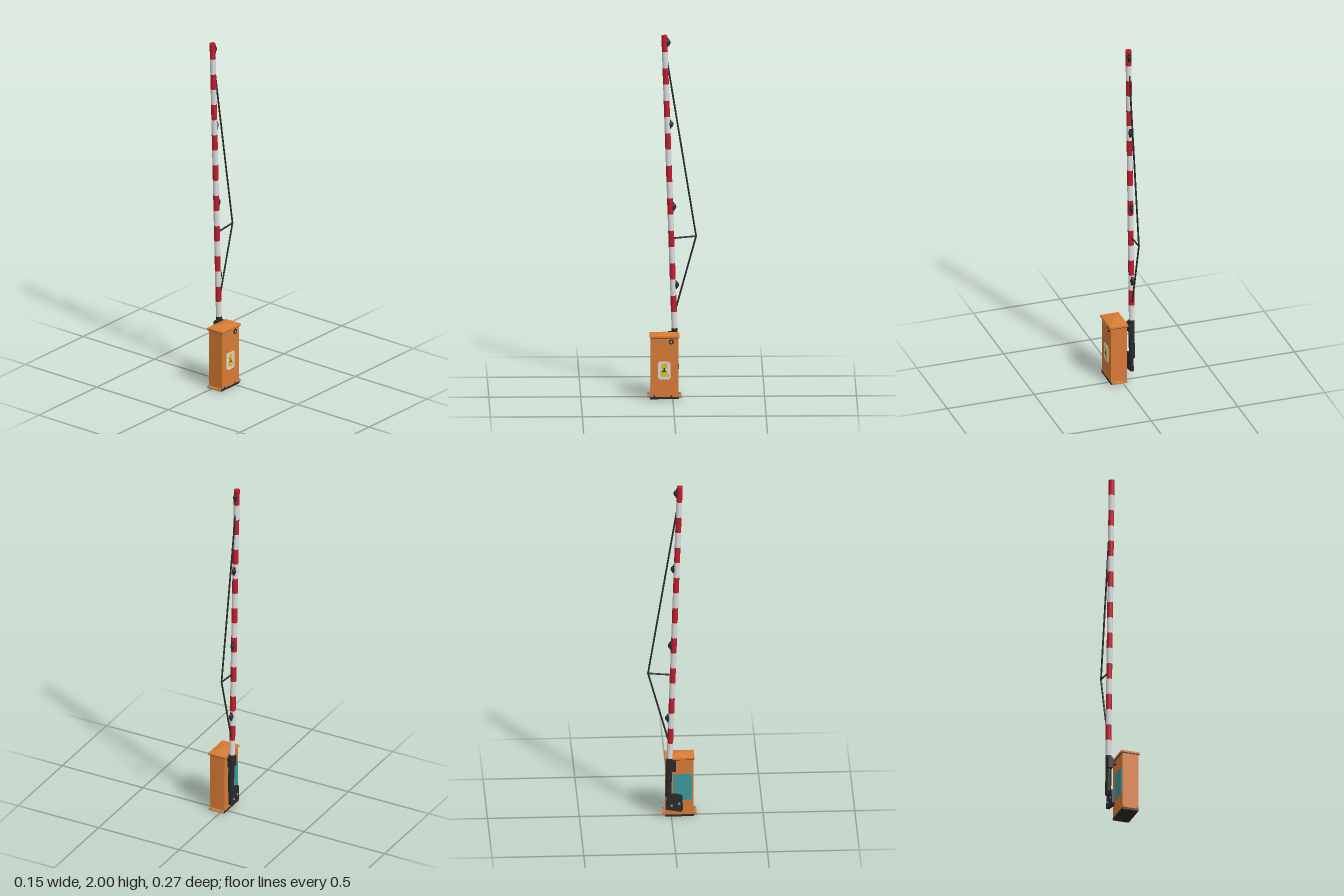
import * as THREE from 'three';

const mat = (name, color, side = THREE.FrontSide) => {
  const m = new THREE.MeshStandardMaterial({ color, side });
  m.name = name;
  return m;
};

export function createModel() {
  const orange = mat('cabinet orange', 0xd97b35);
  const black = mat('black metal', 0x2a2a2c);
  const red = mat('stripe red', 0xbe1e2d);
  const white = mat('stripe white', 0xdcdcdc);
  const teal = mat('panel teal', 0x3a9a9c);
  const grey = mat('bolt grey', 0x858c92);
  const yellow = mat('sign yellow', 0xdcc21e);

  const model = new THREE.Group();
  model.name = 'barrierGate';

  const add = (parent, name, geo, material, x = 0, y = 0, z = 0) => {
    const mesh = new THREE.Mesh(geo, material);
    mesh.name = name;
    mesh.position.set(x, y, z);
    parent.add(mesh);
    return mesh;
  };
  // Box given by its lower and upper corners
  const box = (parent, name, material, a, b) =>
    add(parent, name, new THREE.BoxGeometry(b[0] - a[0], b[1] - a[1], b[2] - a[2]), material,
      (a[0] + b[0]) / 2, (a[1] + b[1]) / 2, (a[2] + b[2]) / 2);
  // Short cylinder lying along x
  const disc = (parent, name, material, r, len, x, y, z) =>
    add(parent, name, new THREE.CylinderGeometry(r, r, len, 20).rotateZ(Math.PI / 2), material, x, y, z);
  // Round bar between two points
  const bar = (parent, name, r, a, b) => {
    const from = new THREE.Vector3(...a), to = new THREE.Vector3(...b);
    const dir = to.clone().sub(from);
    const mesh = add(parent, name, new THREE.CylinderGeometry(r, r, dir.length(), 10), black);
    mesh.position.copy(from).add(to).multiplyScalar(0.5);
    mesh.quaternion.setFromUnitVectors(new THREE.Vector3(0, 1, 0), dir.normalize());
  };

  // Cabinet
  const cabinet = new THREE.Group();
  cabinet.name = 'cabinet';
  model.add(cabinet);
  const cx = 0.022, cz = 0.045;
  box(cabinet, 'basePlate', black, [-0.024, 0, -0.034], [0.068, 0.012, 0.124]);
  box(cabinet, 'body', orange, [-0.024, 0.012, -0.03], [0.068, 0.338, 0.12]);
  box(cabinet, 'lidSeal', black, [-0.026, 0.338, -0.032], [0.071, 0.342, 0.122]);
  box(cabinet, 'lid', orange, [-0.03, 0.342, -0.036], [0.075, 0.352, 0.126]);
  const roof = new THREE.ConeGeometry(Math.SQRT1_2, 1, 4).rotateY(Math.PI / 4)
    .scale(0.105, 0.014, 0.162).toNonIndexed();
  roof.computeVertexNormals();
  add(cabinet, 'roof', roof, orange, cx, 0.359, cz);

  // Mounting feet with bolts
  for (const [z0, z1, bz] of [[-0.049, -0.03, -0.039], [0.12, 0.139, 0.129]]) {
    box(cabinet, 'mountingFoot', orange, [-0.022, 0.006, z0], [0.066, 0.013, z1]);
    for (const x of [-0.013, 0.057])
      add(cabinet, 'footBolt', new THREE.CylinderGeometry(0.007, 0.007, 0.008, 12), grey, x, 0.016, bz);
  }

  // Fittings on the left face
  disc(cabinet, 'axleCover', black, 0.014, 0.006, 0.07, 0.32, 0.008);
  disc(cabinet, 'axleCap', grey, 0.007, 0.003, 0.074, 0.32, 0.008);
  for (const z of [0.063, 0.092]) disc(cabinet, 'lock', grey, 0.007, 0.004, 0.069, 0.322, z);
  for (const z of [0.008, 0.1]) disc(cabinet, 'drainPlug', black, 0.005, 0.003, 0.069, 0.017, z);

  // Warning sign
  const sign = new THREE.Group();
  sign.name = 'warningSign';
  cabinet.add(sign);
  const s = new THREE.Shape();
  const w = 0.034, h = 0.05, c = 0.01;
  s.setFromPoints([[-w + c, -h], [w - c, -h], [w, -h + c], [w, h - c], [w - c, h], [-w + c, h], [-w, h - c], [-w, -h + c]]
    .map(p => new THREE.Vector2(...p)));
  add(sign, 'signPlate', new THREE.ExtrudeGeometry(s, { depth: 0.002, bevelEnabled: false }).rotateY(Math.PI / 2),
    white, 0.068, 0.16, 0.047);
  disc(sign, 'signDisc', yellow, 0.017, 0.001, 0.0705, 0.183, 0.047);
  disc(sign, 'signDisc', yellow, 0.022, 0.001, 0.0705, 0.146, 0.047);
  box(sign, 'signMark', black, [0.07, 0.152, 0.036], [0.0716, 0.158, 0.058]);
  box(sign, 'signMark', black, [0.07, 0.158, 0.044], [0.0716, 0.176, 0.05]);
  for (const y of [0.124, 0.134, 0.196])
    box(sign, 'signLine', grey, [0.07, y, 0.022], [0.0708, y + 0.003, 0.031]);

  // Panel on the arm side and the drive axle
  box(cabinet, 'sidePanel', teal, [-0.027, 0.1, 0.01], [-0.023, 0.255, 0.113]);
  disc(cabinet, 'axle', black, 0.01, 0.034, -0.038, 0.32, 0.004);

  // Arm, leaning slightly forward
  const arm = new THREE.Group();
  arm.name = 'arm';
  arm.position.set(-0.059, 0, -0.0236);
  arm.rotation.x = 0.034;
  model.add(arm);
  const base = 0.37, bands = 18, step = (2 - base) / bands;
  for (let i = 0; i < bands; i++)
    add(arm, i % 2 ? 'redBand' : 'whiteBand', new THREE.CylinderGeometry(0.016, 0.016, step, 24),
      i % 2 ? red : white, 0, base + step * (i + 0.5), 0);
  add(arm, 'armSleeve', new THREE.CylinderGeometry(0.0165, 0.0165, 0.23, 24), black, 0.002, 0.255, 0);
  box(arm, 'armClamp', black, [-0.01, 0.29, -0.0165], [0.017, 0.35, 0.036]);

  // Lamps on the back of the arm
  for (const y of [0.61, 1.045, 1.505, 1.96]) {
    add(arm, 'lamp', new THREE.SphereGeometry(0.02, 16, 10).scale(0.55, 1, 0.9), black, 0, y, -0.015);
    box(arm, 'lampBracket', black, [-0.007, y - 0.024, -0.021], [0.007, y + 0.024, -0.01]);
  }

  // Stay wires and strut
  const tip = [0, 0.876, -0.135];
  bar(arm, 'upperStay', 0.0048, [0, 1.85, -0.012], tip);
  bar(arm, 'lowerStay', 0.0048, [0, 0.48, -0.012], tip);
  bar(arm, 'strut', 0.0048, [0, 0.869, -0.008], tip);
  add(arm, 'stayJoint', new THREE.SphereGeometry(0.005, 10, 8), black, ...tip);

  // Counterweight plate below the sleeve
  const plate = new THREE.Shape([[0.028, 0.15], [0.03, 0.06], [-0.05, 0.045], [-0.062, 0.06], [-0.058, 0.14], [-0.02, 0.15]]
    .map(p => new THREE.Vector2(...p)));
  add(model, 'counterweight', new THREE.ExtrudeGeometry(plate, { depth: 0.017, bevelEnabled: false })
    .rotateY(Math.PI / 2), black, -0.064, 0, 0);
  for (const [y, z] of [[0.085, 0.0], [0.095, 0.04]])
    disc(model, 'counterweightBolt', grey, 0.007, 0.004, -0.065, y, z);

  return model;
}
